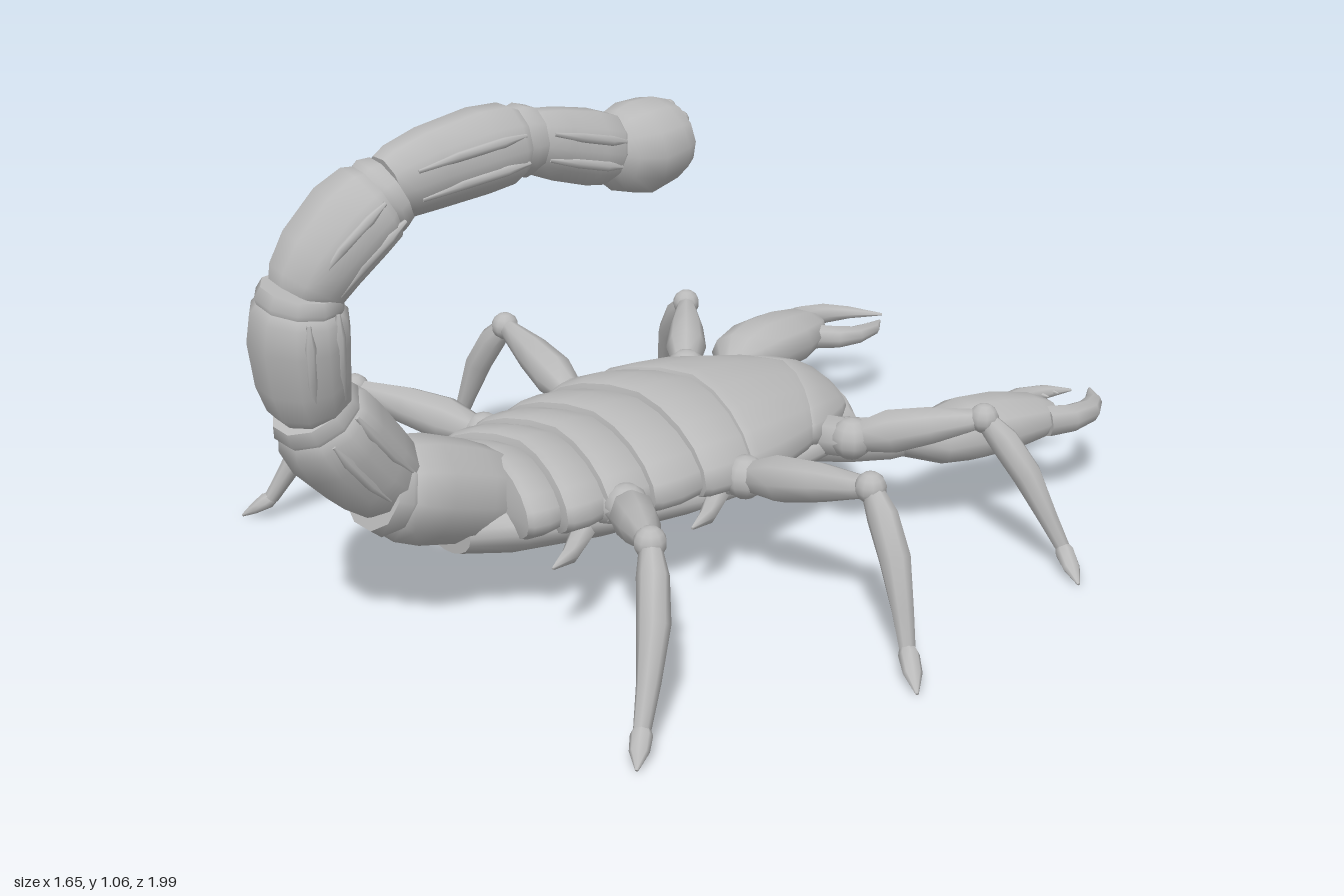
import * as THREE from 'three';

const V = (x, y, z) => new THREE.Vector3(x, y, z);
const shell = new THREE.MeshStandardMaterial({ color: 0xbababa });
shell.name = 'grey shell';

// Skin a list of rings, smooth along the sides with creased end caps
function loft(name, rings) {
  const n = rings[0].length, pos = [], idx = [];
  rings.forEach(r => r.forEach(p => pos.push(p.x, p.y, p.z)));
  for (let i = 0; i < rings.length - 1; i++) {
    for (let j = 0; j < n; j++) {
      const k = (j + 1) % n, a = i * n, b = a + n;
      idx.push(a + j, a + k, b + k, a + j, b + k, b + j);
    }
  }
  [rings[0], rings[rings.length - 1]].forEach((r, end) => {
    const base = pos.length / 3, c = V(0, 0, 0);
    r.forEach(p => { pos.push(p.x, p.y, p.z); c.addScaledVector(p, 1 / n); });
    pos.push(c.x, c.y, c.z);
    for (let j = 0; j < n; j++) {
      const k = (j + 1) % n;
      if (end) idx.push(base + n, base + j, base + k);
      else idx.push(base + n, base + k, base + j);
    }
  });
  const g = new THREE.BufferGeometry();
  g.setAttribute('position', new THREE.Float32BufferAttribute(pos, 3));
  g.setIndex(idx);
  g.computeVertexNormals();
  const mesh = new THREE.Mesh(g, shell);
  mesh.name = name;
  return mesh;
}

// Tapered limb through points [x, y, z, half width, half height]
function limb(name, pts, n = 8, side = null) {
  const P = pts.map(p => V(p[0], p[1], p[2]));
  return loft(name, pts.map((p, i) => {
    const d = P[Math.min(i + 1, P.length - 1)].clone().sub(P[Math.max(i - 1, 0)]).normalize();
    const u = side ? side.clone().addScaledVector(d, -side.dot(d)) : V(0, 1, 0).cross(d);
    u.normalize();
    const v = d.clone().cross(u);
    return Array.from({ length: n }, (_, j) => {
      const t = (j / n) * Math.PI * 2;
      return P[i].clone().addScaledVector(u, Math.cos(t) * p[3]).addScaledVector(v, Math.sin(t) * (p[4] ?? p[3]));
    });
  }));
}

// Body cross-section whose edges sweep backwards
function bodyRing(z, w, top, bottom, mid, bend, n = 20) {
  return Array.from({ length: n }, (_, j) => {
    const t = (j / n) * Math.PI * 2, c = Math.cos(t), s = Math.sin(t);
    return V(w * c, mid + s * (s > 0 ? top - mid : mid - bottom), z + bend * Math.abs(c) ** 1.3);
  });
}

function knob(name, x, y, z, r) {
  const m = new THREE.Mesh(new THREE.SphereGeometry(r, 10, 7), shell);
  m.position.set(x, y, z);
  m.name = name;
  return m;
}

function makeBody() {
  const g = new THREE.Group();
  g.name = 'body';
  // front z, back z, front half width, back half width, front top, back top, front bend, back bend
  const plates = [
    [-0.45, -0.33, 0.15, 0.235, 0.285, 0.335, 0.05, 0.12],
    [-0.36, -0.07, 0.225, 0.292, 0.335, 0.372, 0.12, 0.08],
    [-0.09, 0.08, 0.28, 0.283, 0.36, 0.37, 0.08, 0.05],
    [0.05, 0.20, 0.262, 0.268, 0.348, 0.358, 0.05, 0.05],
    [0.17, 0.30, 0.243, 0.25, 0.335, 0.35, 0.05, 0.05],
    [0.27, 0.39, 0.222, 0.23, 0.325, 0.345, 0.05, 0.05],
    [0.36, 0.47, 0.195, 0.195, 0.315, 0.34, 0.05, 0.04],
  ];
  plates.forEach(([z0, z1, w0, w1, t0, t1, b0, b1], i) => {
    const ring = (f, grow) => bodyRing(z0 + (z1 - z0) * f, (w0 + (w1 - w0) * f) + grow,
      t0 + (t1 - t0) * f + grow * 0.9, 0.18, 0.25, b0 + (b1 - b0) * f);
    g.add(loft(i === 0 ? 'headPlate' : 'backPlate' + i,
      [ring(0, -0.012), ring(0.2, 0), ring(0.6, 0.008), ring(0.92, 0.002), ring(1, -0.008)]));
  });
  // smooth underside
  const belly = [[-0.44, 0.12, 0.2], [-0.4, 0.18, 0.178], [-0.28, 0.225, 0.153], [-0.08, 0.255, 0.138], [0.12, 0.25, 0.134],
    [0.32, 0.21, 0.134], [0.48, 0.15, 0.136], [0.58, 0.09, 0.155]];
  g.add(loft('belly', belly.map(([z, w, b]) => bodyRing(z, w, 0.27, b, 0.21, 0))));
  return g;
}

function makeTail() {
  const g = new THREE.Group();
  g.name = 'tail';
  // start x, y, z, end x, y, z, radius across, radius in the plane of the curl, outward bow
  const segs = [
    [0, 0.245, 0.46, 0.005, 0.33, 0.71, 0.115, 0.105, 0],
    [0.005, 0.35, 0.71, 0.02, 0.525, 0.86, 0.1, 0.1, 0.01],
    [0.02, 0.555, 0.875, 0.045, 0.76, 0.9, 0.1, 0.09, 0.01],
    [0.045, 0.785, 0.89, 0.07, 0.93, 0.745, 0.095, 0.085, 0.016],
    [0.07, 0.95, 0.715, 0.075, 0.985, 0.44, 0.076, 0.08, 0.008],
    [0.075, 0.98, 0.41, 0.075, 0.93, 0.21, 0.068, 0.073, 0],
  ];
  const across = V(1, 0, 0);
  const shape = [[-0.03, 0.76], [0.06, 0.88], [0.3, 0.98], [0.7, 1.04], [0.93, 0.98], [1, 0.84]];
  segs.forEach(([x0, y0, z0, x1, y1, z1, rw, rh, bow], i) => {
    const a = V(x0, y0, z0), d = V(x1, y1, z1).sub(a);
    const out = across.clone().cross(d).normalize().negate();
    if (out.z + out.y * 0.3 < 0 && i < 4) out.negate();
    if (i >= 4 && out.y < 0) out.negate();
    const at = f => a.clone().addScaledVector(d, f).addScaledVector(out, bow * (1 - (2 * f - 1) ** 2));
    g.add(limb('tailSegment', shape.map(([f, k]) => [...at(f).toArray(), rw * k, rh * k]), 10, across));
    // narrow cuff joining the next segment
    g.add(limb('tailCuff', [[0.95, 0.8], [1.04, 0.9], [1.14, 0.8]].map(([f, k]) => [...at(f).toArray(), rw * k, rh * k]), 10, across));
    // raised keels along the sides
    if (i === 0) return;
    for (const s of [-1, 1]) for (const q of [-0.34, 0.34]) {
      const pts = [[0.1, 0.85, 0.004], [0.4, 0.95, 0.01], [0.75, 0.98, 0.011], [0.95, 0.91, 0.004]].map(([f, k, r]) => {
        const p = at(f).addScaledVector(across, s * rw * k * 0.91).addScaledVector(out, q * rh);
        return [p.x, p.y, p.z, r, r];
      });
      g.add(limb('tailKeel', pts, 6, across));
    }
  });
  // blunt end with a cluster of small bumps
  g.add(limb('tailBulb', [[0.075, 0.93, 0.225, 0.05], [0.075, 0.925, 0.2, 0.08], [0.075, 0.922, 0.15, 0.103, 0.094],
    [0.075, 0.932, 0.09, 0.1, 0.086], [0.075, 0.935, 0.06, 0.082, 0.072]], 12, across));
  for (let i = 0; i < 9; i++) {
    const t = (i / 8) * Math.PI * 2, r = i < 8 ? 0.055 : 0;
    g.add(knob('tailBump', 0.075 + r * Math.cos(t), 0.932 + r * Math.sin(t), 0.064, 0.019));
  }
  return g;
}

// Points: hip, knee, ankle, toe, on the +x side
function makeLeg(s, name, hip, knee, ankle, toe) {
  const g = new THREE.Group();
  g.name = name;
  const [H, K, A, T] = [hip, knee, ankle, toe].map(p => V(s * p[0], p[1], p[2]));
  const part = (label, a, b, stations) => g.add(limb(label, stations.map(([f, w, h, lift = 0, out = 0]) => {
    const p = a.clone().lerp(b, f);
    return [p.x + s * out, p.y + lift, p.z, w, h];
  })));
  const inner = H.clone().add(V(-s * 0.1, -0.02, 0));
  part('hip', inner, H, [[0, 0.05, 0.045], [0.6, 0.05, 0.045], [1.05, 0.042, 0.042]]);
  g.add(knob('hipJoint', H.x, H.y, H.z, 0.046));
  part('thigh', H, K, [[0.08, 0.032, 0.035], [0.3, 0.047, 0.05, 0.002], [0.6, 0.04, 0.042, 0.002], [0.9, 0.024, 0.026], [1, 0.02, 0.02]]);
  g.add(knob('kneeJoint', K.x, K.y, K.z, 0.032));
  // the shin bows outward
  part('shin', K, A, [[0, 0.02, 0.022], [0.2, 0.031, 0.033, 0.01, 0.012], [0.45, 0.032, 0.032, 0.01, 0.02],
    [0.75, 0.023, 0.022, 0, 0.012], [1, 0.017, 0.016]]);
  part('foot', A, T, [[-0.12, 0.012, 0.012], [0.15, 0.021, 0.019], [0.55, 0.019, 0.013], [1, 0.003, 0.003]]);
  return g;
}

function makeClaw(s) {
  const g = new THREE.Group();
  g.name = s > 0 ? 'leftClaw' : 'rightClaw';
  const part = (name, pts, n) => g.add(limb(name, pts.map(p => [s * p[0], ...p.slice(1)]), n));
  part('upperArm', [[0.14, 0.21, -0.25, 0.05, 0.05], [0.2, 0.205, -0.34, 0.058, 0.052], [0.25, 0.2, -0.42, 0.052, 0.046], [0.285, 0.2, -0.47, 0.035, 0.035]]);
  part('hand', [[0.275, 0.2, -0.435, 0.034, 0.035], [0.318, 0.206, -0.5, 0.078, 0.058], [0.333, 0.21, -0.57, 0.092, 0.068],
    [0.35, 0.209, -0.66, 0.094, 0.064], [0.372, 0.206, -0.75, 0.072, 0.05], [0.385, 0.203, -0.795, 0.045, 0.032]], 10);
  part('outerFinger', [[0.41, 0.203, -0.755, 0.04, 0.036], [0.433, 0.202, -0.81, 0.032, 0.032], [0.428, 0.2, -0.88, 0.029, 0.026],
    [0.395, 0.198, -0.94, 0.02, 0.016], [0.335, 0.195, -1, 0.003, 0.003]]);
  part('innerFinger', [[0.325, 0.2, -0.74, 0.035, 0.032], [0.285, 0.198, -0.79, 0.033, 0.028], [0.27, 0.196, -0.84, 0.027, 0.022],
    [0.28, 0.194, -0.91, 0.019, 0.016], [0.31, 0.193, -0.965, 0.003, 0.003]]);
  for (let i = 0; i < 4; i++) {
    const z = -0.81 - i * 0.035;
    part('tooth', [[0.285, 0.196, z, 0.009], [0.31, 0.196, z - 0.006, 0.002]], 5);
  }
  return g;
}

export function createModel() {
  const root = new THREE.Group();
  root.name = 'scorpion';
  root.add(makeBody(), makeTail());
  for (const s of [1, -1]) {
    root.add(makeClaw(s));
    root.add(makeLeg(s, 'frontLeg', [0.27, 0.245, -0.285], [0.48, 0.31, -0.465], [0.65, 0.05, -0.54], [0.73, 0.006, -0.5]));
    root.add(makeLeg(s, 'middleLeg', [0.28, 0.25, 0.03], [0.597, 0.325, -0.008], [0.745, 0.05, 0.03], [0.825, 0.006, 0.085]));
    root.add(makeLeg(s, 'backLeg', [0.24, 0.255, 0.31], [0.5, 0.32, 0.465], [0.645, 0.05, 0.605], [0.69, 0.006, 0.655]));
    // small hooked spikes along the flanks
    for (const [x, z] of [[0.3, 0.19], [0.262, 0.51]]) {
      root.add(limb('flankSpike', [[s * (x - 0.06), 0.21, z - 0.12, 0.025], [s * (x - 0.01), 0.2, z - 0.05, 0.018], [s * x, 0.19, z, 0.003]], 6));
    }
  }
  return root;
}
